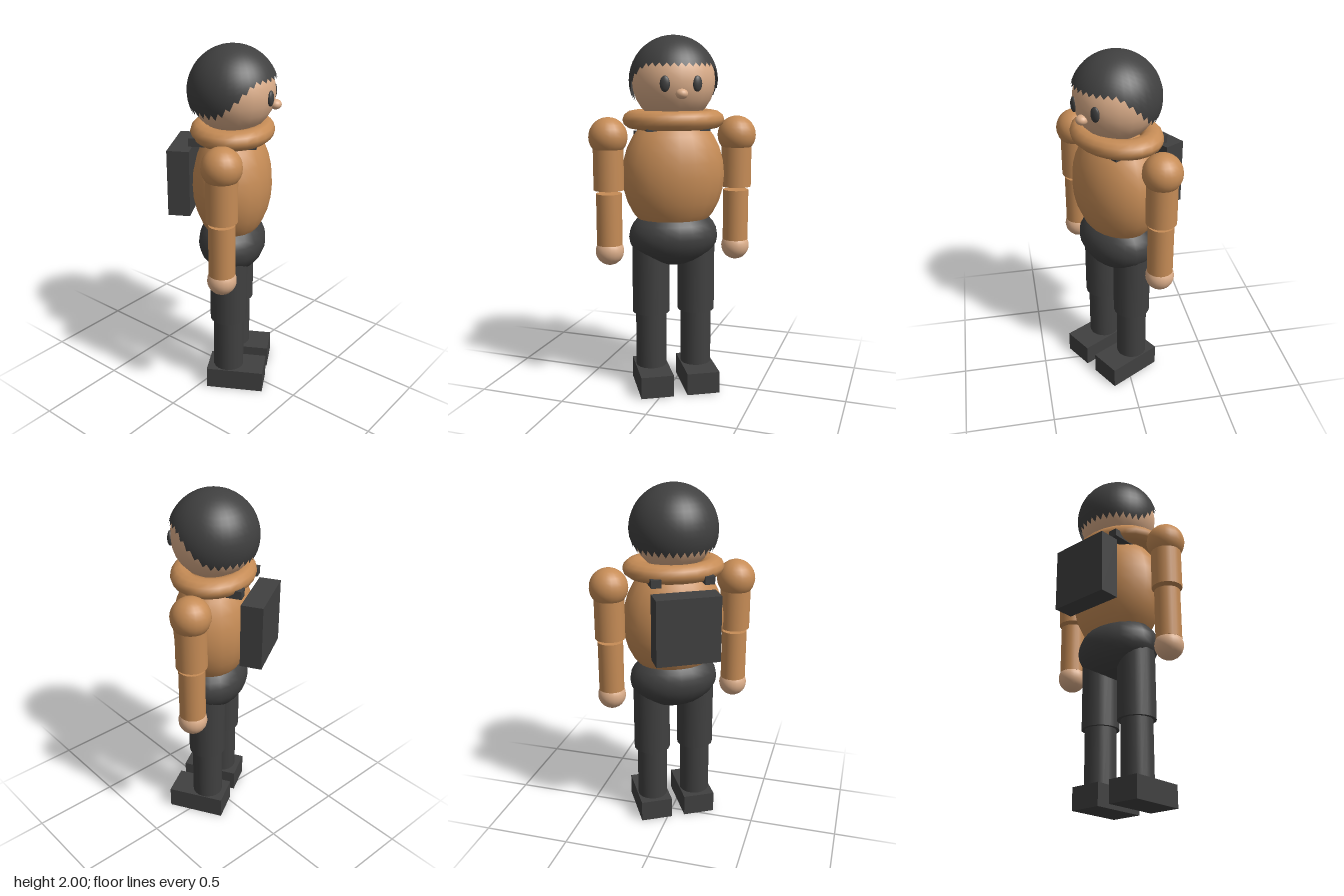
import * as THREE from 'three';

const material = (name, color, side = THREE.FrontSide) => {
  const m = new THREE.MeshStandardMaterial({ color, side });
  m.name = name;
  return m;
};

export function createModel() {
  const tan = material('tan cloth', 0xc68c56);
  const skin = material('skin', 0xdcae8a);
  const dark = material('charcoal', 0x404040, THREE.DoubleSide);

  const model = new THREE.Group();
  model.name = 'hiker';
  // the figure stands turned towards its left
  const body = new THREE.Group();
  body.name = 'figure';
  body.rotation.y = Math.PI / 6;
  body.position.z = 0.037;
  model.add(body);

  const add = (name, geometry, mat, x, y, z) => {
    const mesh = new THREE.Mesh(geometry, mat);
    mesh.name = name;
    mesh.position.set(x, y, z);
    body.add(mesh);
    return mesh;
  };
  const ball = (name, mat, x, y, z, rx, ry = rx, rz = rx) => {
    const mesh = add(name, new THREE.SphereGeometry(1, 20, 14), mat, x, y, z);
    mesh.scale.set(rx, ry, rz);
    return mesh;
  };
  const limb = (name, mat, x, top, bottom, r) =>
    add(name, new THREE.CylinderGeometry(r, r, top - bottom, 20), mat, x, (top + bottom) / 2, 0);
  const box = (name, mat, x, y, z, w, h, d) =>
    add(name, new THREE.BoxGeometry(w, h, d), mat, x, y, z);

  // trunk
  ball('torso', tan, 0, 1.24, 0, 0.29, 0.35, 0.22);
  ball('hips', dark, 0, 0.89, 0, 0.255, 0.17, 0.19);
  const collar = add('collar', new THREE.TorusGeometry(0.215, 0.07, 12, 24), tan, 0, 1.545, 0);
  collar.rotation.x = Math.PI / 2;
  collar.scale.set(1, 0.8, 0.75);

  // head and face
  const headY = 1.755;
  ball('head', skin, 0, headY, 0, 0.23);
  ball('nose', skin, 0, 1.69, 0.228, 0.033, 0.027, 0.033);

  // hair: a cap whose rim is high over the brow and low at the nape
  const hairR = 0.245;
  const hair = new THREE.SphereGeometry(hairR, 36, 14);
  const { position, normal, uv } = hair.attributes;
  for (let i = 0; i < position.count; i++) {
    const azimuth = uv.getX(i) * Math.PI * 2;
    const fromFront = Math.abs(THREE.MathUtils.radToDeg(Math.atan2(Math.sin(azimuth), Math.cos(azimuth))));
    const rimY = 1.83 - 0.185 * THREE.MathUtils.smoothstep(fromFront, 45, 110);
    const t = Math.floor(i / 37) / 14 * Math.acos((rimY - headY) / hairR);
    const n = new THREE.Vector3(Math.sin(azimuth) * Math.sin(t), Math.cos(t), Math.cos(azimuth) * Math.sin(t));
    normal.setXYZ(i, n.x, n.y, n.z);
    position.setXYZ(i, n.x * hairR, n.y * hairR, n.z * hairR);
  }
  add('hair', hair, dark, 0, headY, 0);

  // backpack
  box('backpack', dark, 0, 1.275, -0.268, 0.356, 0.37, 0.122);

  // paired parts
  for (const [side, s] of [['left', 1], ['right', -1]]) {
    const eye = ball(side + 'Eye', dark, s * 0.087, 1.742, 0.211, 0.027, 0.042, 0.015);
    eye.rotation.y = s * 0.25;
    box(side + 'Strap', dark, s * 0.147, 1.512, -0.03, 0.055, 0.045, 0.36);

    ball(side + 'Shoulder', tan, s * 0.365, 1.453, 0, 0.108);
    limb(side + 'UpperArm', tan, s * 0.365, 1.45, 1.16, 0.085);
    limb(side + 'Forearm', tan, s * 0.365, 1.14, 0.85, 0.072);
    ball(side + 'Hand', skin, s * 0.365, 0.813, 0, 0.08);

    limb(side + 'Thigh', dark, s * 0.132, 0.85, 0.447, 0.106);
    limb(side + 'Calf', dark, s * 0.132, 0.45, 0.12, 0.088);
    box(side + 'Shoe', dark, s * 0.132, 0.0625, 0.048, 0.186, 0.125, 0.33);
  }
  return model;
}
